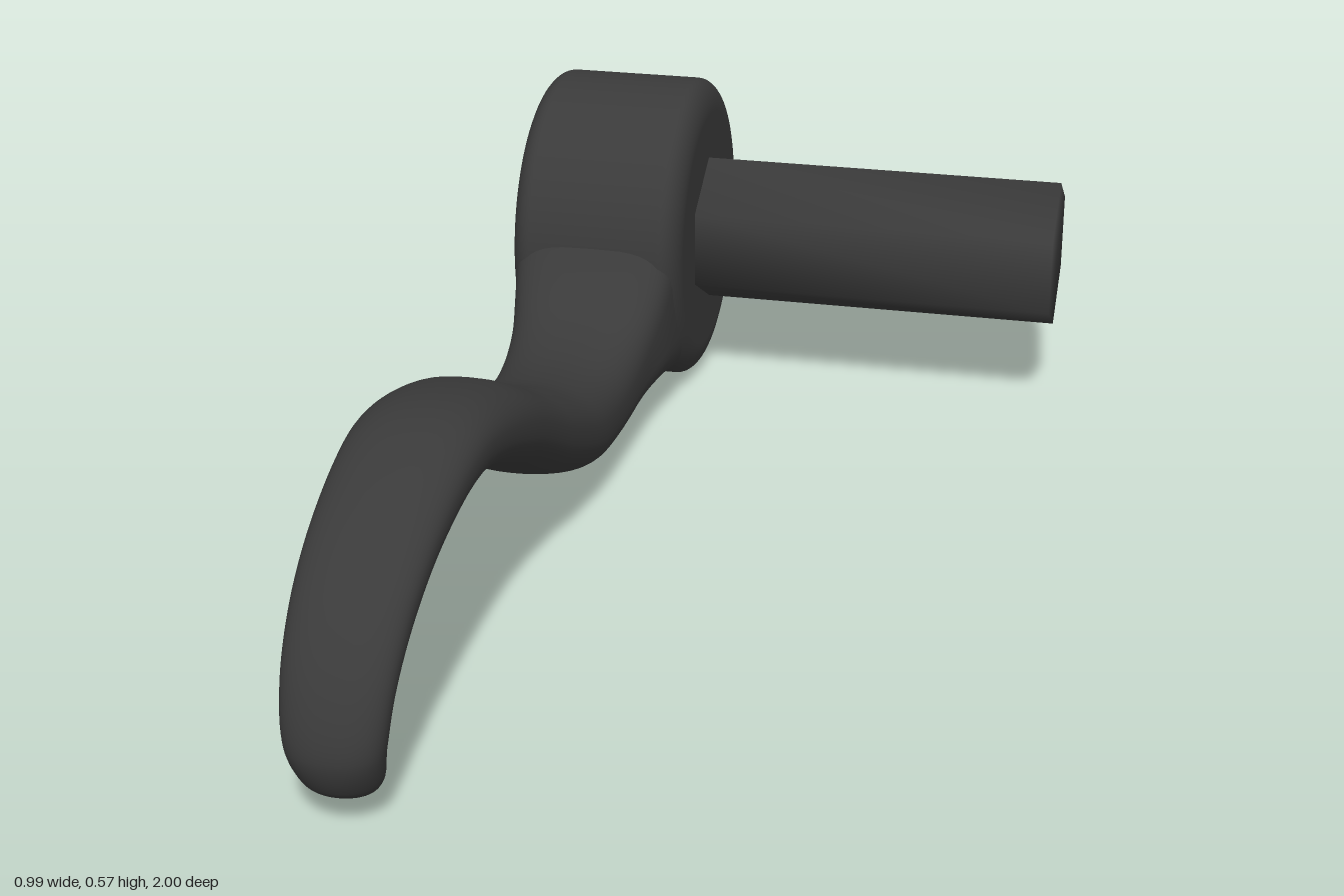
import * as THREE from 'three';
import { mergeVertices } from 'three/addons/utils/BufferGeometryUtils.js';

const CX = -0.335, HUB_Y = 0.287, HUB_Z = -0.715, HUB_R = 0.285, HUB_HALF = 0.16;

// Lever stations: upper edge z, y | lower edge z, y | half width | squareness of section
const STATIONS = [
  [-0.60, 0.535, -0.72, 0.03, 0.157, 5.5],
  [-0.53, 0.495, -0.636, 0.018, 0.157, 5.5],
  [-0.476, 0.417, -0.53, 0.053, 0.155, 5],
  [-0.43, 0.33, -0.44, 0.066, 0.147, 4],
  [-0.342, 0.251, -0.34, 0.058, 0.131, 3],
  [-0.21, 0.219, -0.21, 0.043, 0.122, 2.5],
  [-0.05, 0.24, -0.10, 0.053, 0.12, 2.4],
  [0.139, 0.32, 0.07, 0.123, 0.12, 2.4],
  [0.353, 0.425, 0.28, 0.24, 0.115, 2.4],
  [0.56, 0.46, 0.52, 0.337, 0.107, 2.4],
  [0.754, 0.406, 0.70, 0.322, 0.098, 2.4],
  [0.888, 0.326, 0.818, 0.267, 0.09, 2.4],
  [0.968, 0.23, 0.888, 0.198, 0.082, 2.3],
  [1.0, 0.134, 0.904, 0.134, 0.073, 2.2],
  [0.981, 0.075, 0.888, 0.075, 0.06, 2],
  [0.958, 0.054, 0.90, 0.054, 0.043, 2],
  [0.93, 0.046, 0.925, 0.046, 0.004, 2],
];

function leverGeometry(rings = 128, sides = 48) {
  // the spare x component of each curve carries half width and squareness
  const upper = new THREE.CatmullRomCurve3(STATIONS.map(s => new THREE.Vector3(s[4], s[1], s[0])));
  const lower = new THREE.CatmullRomCurve3(STATIONS.map(s => new THREE.Vector3(s[5] * 0.05, s[3], s[2])));
  const bend = (v, n) => Math.sign(v) * Math.pow(Math.abs(v), 2 / n);
  const pos = [], index = [];
  for (let i = 0; i <= rings; i++) {
    const a = upper.getPoint(i / rings), b = lower.getPoint(i / rings);
    const n = b.x / 0.05;
    for (let j = 0; j < sides; j++) {
      const t = (j / sides) * Math.PI * 2;
      const k = bend(Math.sin(t), n) / 2;
      pos.push(
        CX + a.x * bend(Math.cos(t), n),
        (a.y + b.y) / 2 + (a.y - b.y) * k,
        (a.z + b.z) / 2 + (a.z - b.z) * k
      );
      if (i < rings) {
        const p = i * sides + j, q = i * sides + (j + 1) % sides;
        index.push(p, q, q + sides, p, q + sides, p + sides);
      }
    }
  }
  // close the tip
  const last = rings * sides;
  for (let j = 1; j < sides - 1; j++) index.push(last, last + j, last + j + 1);
  const geo = new THREE.BufferGeometry();
  geo.setAttribute('position', new THREE.Float32BufferAttribute(pos, 3));
  geo.setIndex(index);
  geo.computeVertexNormals();
  return geo;
}

// Round drum with softly rounded rims, turned about x
function hubGeometry() {
  const rx = 0.04, ry = 0.06, profile = [new THREE.Vector2(0, -HUB_HALF)];
  for (const side of [-1, 1]) {
    for (let i = 0; i <= 10; i++) {
      const t = (side < 0 ? i : 10 - i) / 10 * Math.PI / 2;
      profile.push(new THREE.Vector2(
        HUB_R - ry + ry * Math.sin(t),
        side * (HUB_HALF - rx + rx * Math.cos(t))
      ));
    }
  }
  profile.push(new THREE.Vector2(0, HUB_HALF));
  return new THREE.LatheGeometry(profile, 80).rotateZ(-Math.PI / 2);
}

// Hexagonal bar with shared, smoothed corners
function shaftGeometry(x0, x1) {
  let geo = new THREE.CylinderGeometry(0.142, 0.142, x1 - x0, 6, 1, false, Math.PI / 6);
  geo.deleteAttribute('normal');
  geo.deleteAttribute('uv');
  geo = mergeVertices(geo);
  geo.computeVertexNormals();
  return geo.rotateZ(-Math.PI / 2).translate((x0 + x1) / 2, 0, 0);
}

export function createModel() {
  const group = new THREE.Group();
  group.name = 'leverHandle';
  const material = new THREE.MeshStandardMaterial({ color: 0x3a3a3a });
  const add = (name, geo, x = 0, y = 0, z = 0) => {
    const mesh = new THREE.Mesh(geo, material);
    mesh.name = name;
    mesh.position.set(x, y, z);
    group.add(mesh);
  };
  add('hub', hubGeometry(), CX, HUB_Y, HUB_Z);
  add('lever', leverGeometry());
  add('hexShaft', shaftGeometry(CX + HUB_HALF - 0.01, 0.495), 0, HUB_Y, HUB_Z);
  return group;
}
